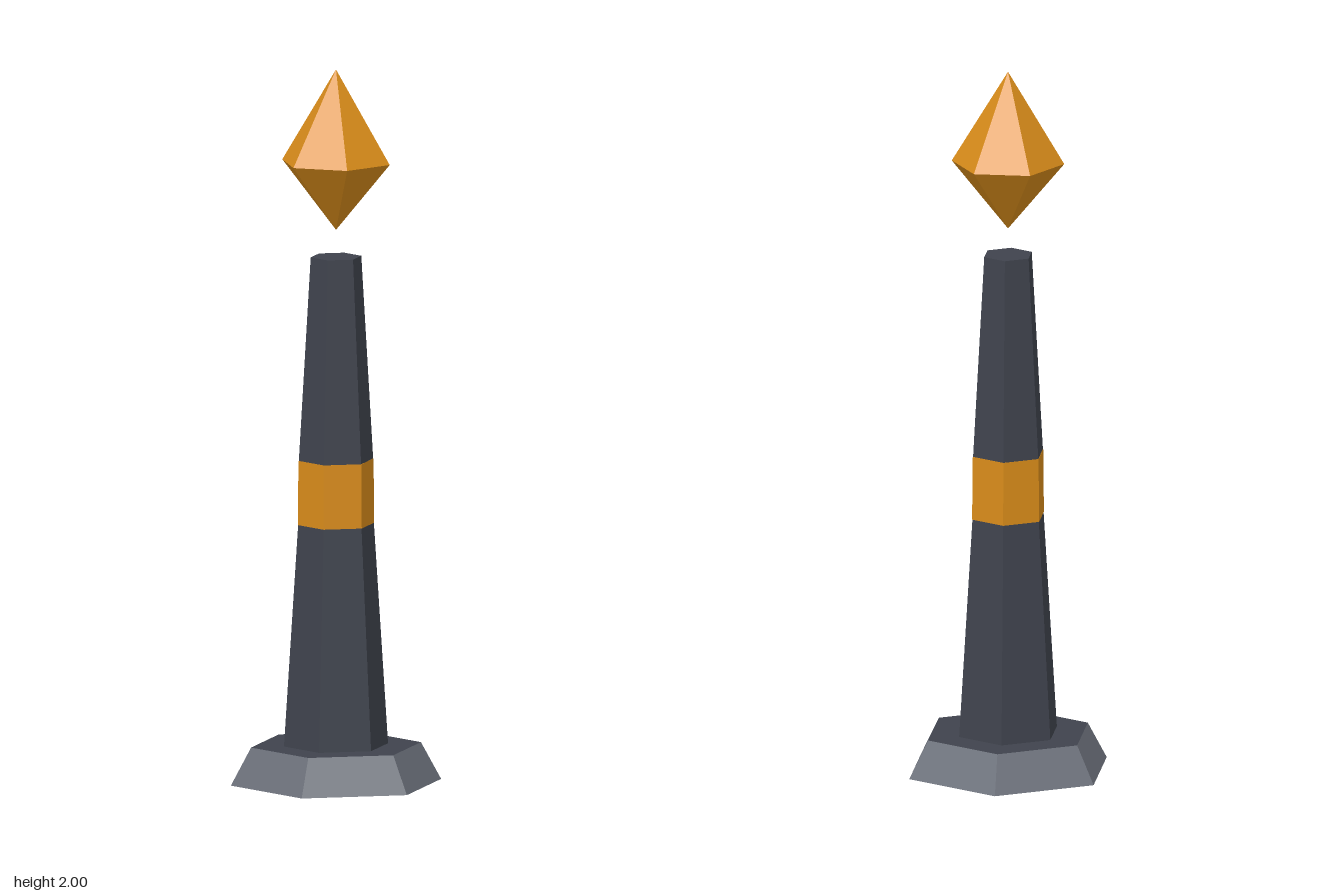
import * as THREE from 'three';

const paint = (color) => new THREE.MeshStandardMaterial({ color, flatShading: true, side: THREE.DoubleSide });

export function createModel() {
  const group = new THREE.Group();
  const stone = paint(0x6b707a);
  const dark = paint(0x3f434d);
  const amber = paint(0xd98c1a);

  // Six-sided tapered section from y0 to y1; turn = PI / 6 puts corners on the x axis
  function section(name, r0, r1, y0, y1, material, open = true, turn = Math.PI / 6) {
    const geometry = new THREE.CylinderGeometry(r1, r0, y1 - y0, 6, 1, open, turn);
    const mesh = new THREE.Mesh(geometry, material);
    mesh.name = name;
    mesh.position.y = (y0 + y1) / 2;
    group.add(mesh);
  }

  // Flat six-sided lid facing up
  function lid(name, r, y) {
    const mesh = new THREE.Mesh(new THREE.CircleGeometry(r, 6), dark);
    mesh.name = name;
    mesh.rotation.x = -Math.PI / 2;
    mesh.position.y = y;
    group.add(mesh);
  }

  // Hollow plinth, open underneath, with a dark top
  section('plinthWall', 0.297, 0.24, 0, 0.105, stone);
  lid('plinthTop', 0.24, 0.105);

  // Tapered shaft with an amber band
  section('lowerShaft', 0.147, 0.107, 0.105, 0.725, dark);
  section('band', 0.108, 0.106, 0.725, 0.905, amber, false);
  section('upperShaft', 0.105, 0.0715, 0.905, 1.475, dark);
  lid('shaftTop', 0.0715, 1.475);

  // Floating crystal, corners on the z axis
  section('crystalLower', 0, 0.157, 1.55, 1.74, amber, true, 0);
  section('crystalUpper', 0.157, 0, 1.74, 2, amber, true, 0);

  return group;
}
